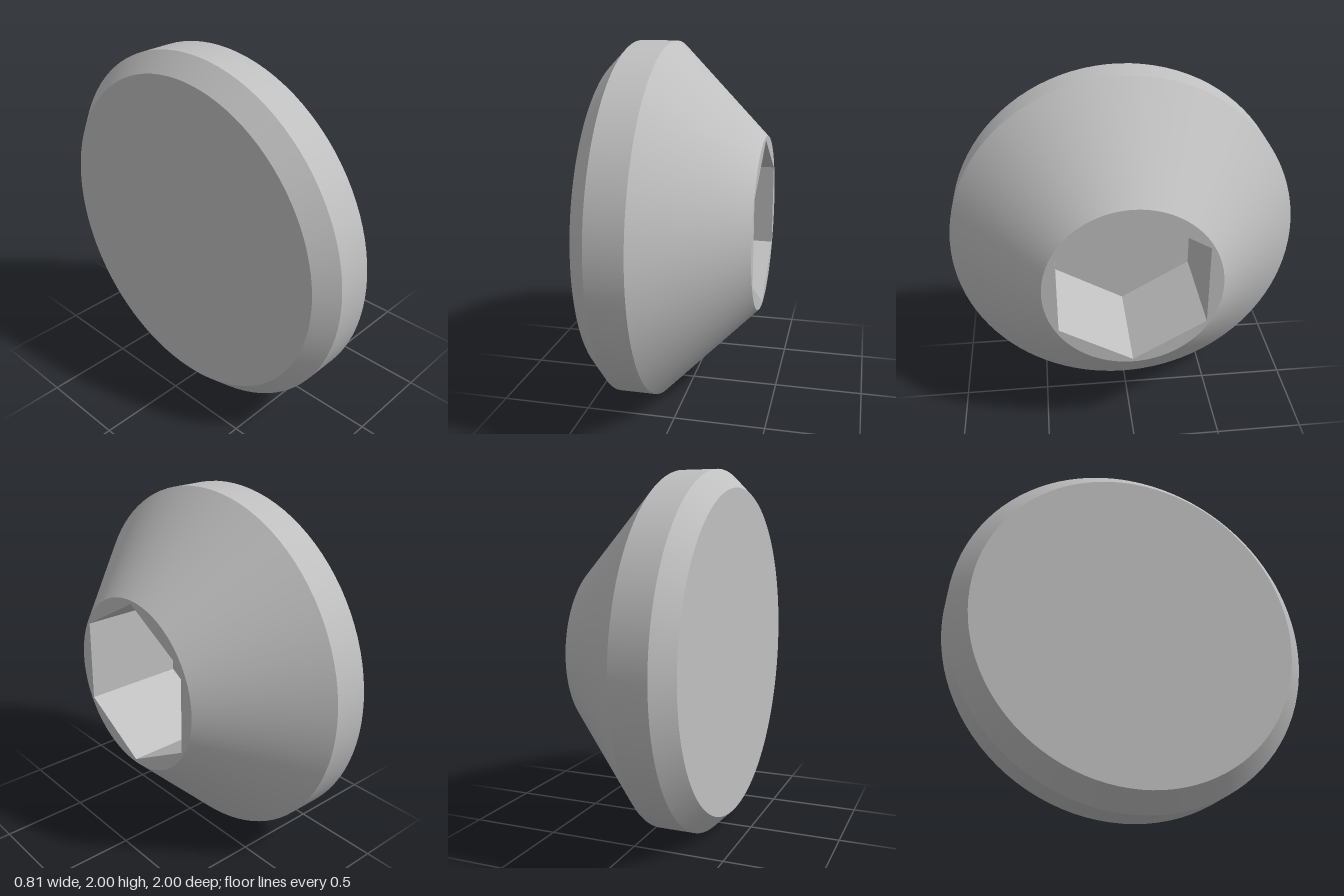
import * as THREE from 'three';

const FACE_X = 0.405;      // small end with the socket
const FACE_R = 0.49;
const HEX_R = 0.472;       // socket radius across corners
const FLOOR_X = -0.2;      // bottom of the socket

export function createModel() {
  const model = new THREE.Group();
  model.name = 'socketPlug';
  const steel = new THREE.MeshStandardMaterial({ color: 0xc0c0c0 });
  steel.name = 'steelGrey';

  const add = (name, geometry) => {
    const mesh = new THREE.Mesh(geometry, steel);
    mesh.name = name;
    mesh.position.y = 1;
    model.add(mesh);
  };

  // Turned surface about the x axis, from [radius, x] points
  const turn = (points, segments, start = 0) =>
    new THREE.LatheGeometry(points.map(([r, x]) => new THREE.Vector2(r, x)), segments, start)
      .rotateZ(-Math.PI / 2);

  // Outer body: each band is separate so that its edges stay sharp
  const profile = [[0, -0.405], [0.9, -0.405], [1, -0.305], [1, -0.105], [FACE_R, FACE_X]];
  ['backFace', 'chamfer', 'rim', 'cone'].forEach((name, i) =>
    add(name, turn([profile[i], profile[i + 1]], 96)));

  // Flat ring around the hexagonal opening
  const ring = new THREE.Shape().absarc(0, 0, FACE_R, 0, Math.PI * 2);
  const corners = [];
  for (let i = 0; i < 6; i++) {
    const a = Math.PI / 2 - i * Math.PI / 3;
    corners.push(new THREE.Vector2(Math.cos(a) * HEX_R, Math.sin(a) * HEX_R));
  }
  ring.holes.push(new THREE.Path(corners));
  add('socketFace', new THREE.ShapeGeometry(ring, 48).rotateY(Math.PI / 2).translate(FACE_X, 0, 0));

  // Hexagonal socket: flat walls facing inwards, and a floor
  const socket = turn([[HEX_R, FACE_X], [HEX_R, FLOOR_X], [0, FLOOR_X]], 6, Math.PI / 2).toNonIndexed();
  socket.computeVertexNormals();
  add('hexSocket', socket);

  return model;
}
